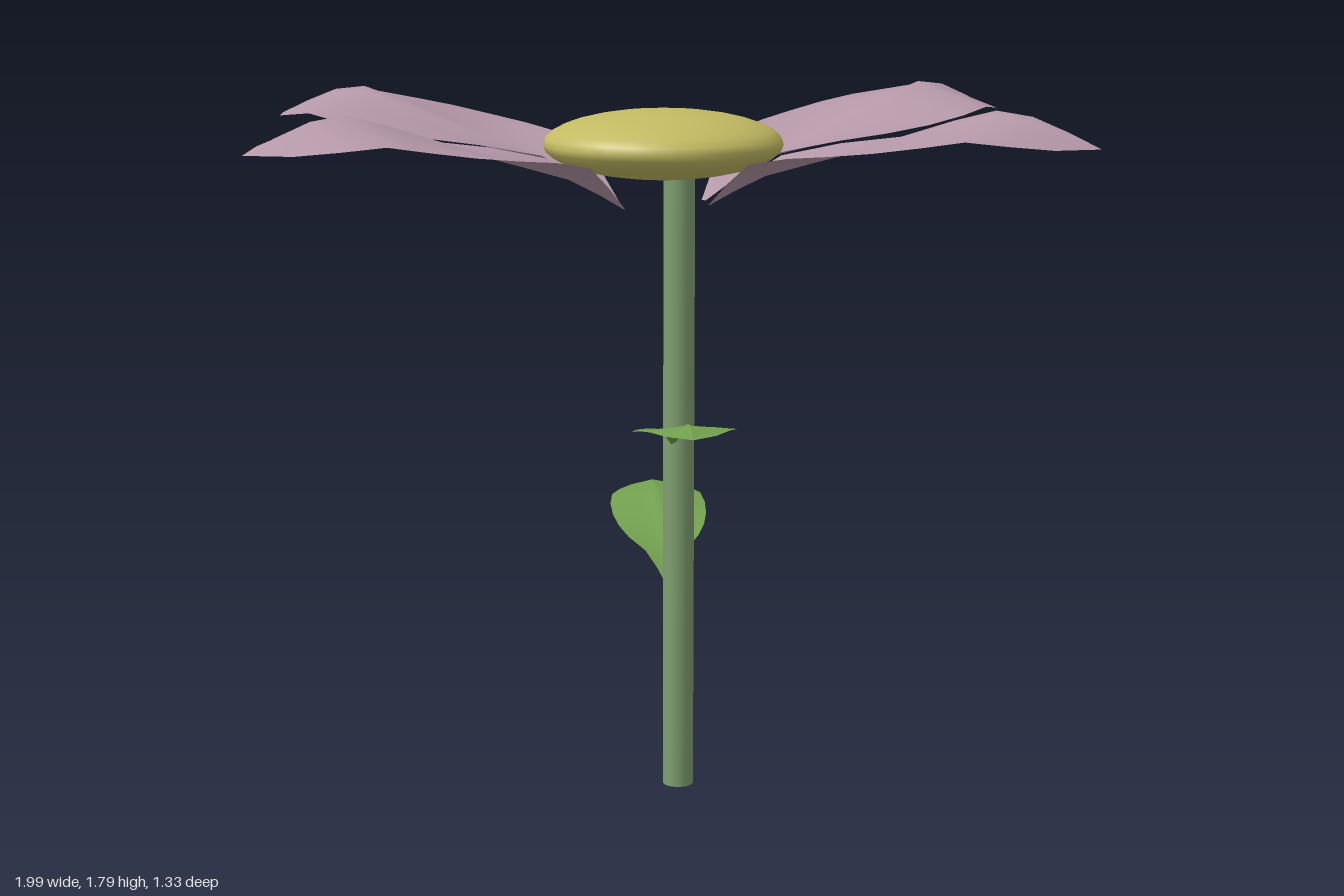
import * as THREE from 'three';

const mat = (color, side = THREE.FrontSide) =>
  new THREE.MeshStandardMaterial({ color, side, roughness: 0.8 });

// Linear lookup in a list of [t, value] pairs
function lookup(list, t) {
  for (let i = 1; i < list.length; i++) {
    const [t0, v0] = list[i - 1], [t1, v1] = list[i];
    if (t <= t1) return v0 + ((v1 - v0) * (t - t0)) / (t1 - t0);
  }
  return list[list.length - 1][1];
}

// Shared blade outline (1 = widest) and fold: edges rise near the base, droop near the tip
const OUTLINE = [[0, 0.03], [0.07, 0.2], [0.15, 0.42], [0.28, 0.72], [0.4, 0.89], [0.52, 0.98],
  [0.64, 1], [0.74, 0.94], [0.83, 0.76], [0.92, 0.47], [1, 0]];
const FOLD = [[0, 0], [0.13, 0.045], [0.3, 0.03], [0.5, -0.01], [0.7, -0.045], [0.85, -0.045], [1, 0]];
const COLS = [-1, -0.7, -0.4, -0.08, 0, 0.08, 0.4, 0.7, 1];

// Curved blade from base [x, z] to tip [x, z]; heights lists the midrib's y
function blade(name, material, base, tip, heights, halfWidth, fold, rib) {
  const dx = tip[0] - base[0], dz = tip[1] - base[1], len = Math.hypot(dx, dz);
  const pos = [], index = [], n = COLS.length;
  OUTLINE.forEach(([t, w], i) => {
    const y = lookup(heights, t), drop = lookup(FOLD, t) * fold;
    COLS.forEach((c, j) => {
      const s = (c * w * halfWidth) / len;
      const ridge = c === 0 ? rib * Math.min(1, w * 2) : 0;
      pos.push(base[0] + dx * t - dz * s, y + drop * Math.abs(c) + ridge, base[1] + dz * t + dx * s);
      if (i && j) {
        const d = i * n + j, b = d - n;
        index.push(b - 1, b, d - 1, b, d, d - 1);
      }
    });
  });
  const geo = new THREE.BufferGeometry();
  geo.setAttribute('position', new THREE.Float32BufferAttribute(pos, 3));
  geo.setIndex(index);
  geo.computeVertexNormals();
  const mesh = new THREE.Mesh(geo, material);
  mesh.name = name;
  return mesh;
}

export function createModel() {
  const flower = new THREE.Group();
  flower.name = 'flower';

  // Stem
  const stem = new THREE.Mesh(new THREE.CylinderGeometry(0.04, 0.04, 1.65, 16), mat(0x7f9f70));
  stem.name = 'stem';
  stem.position.set(0.06, 0.825, 0.028);
  flower.add(stem);

  // Flattened flower centre
  const centre = new THREE.Mesh(new THREE.SphereGeometry(1, 32, 16), mat(0xc2ba62));
  centre.name = 'flowerCentre';
  centre.scale.set(0.3, 0.085, 0.29);
  centre.position.set(0.02, 1.68, 0.025);
  flower.add(centre);

  // Four petals, each with its own base and tip
  const petalMat = mat(0xb598a8, THREE.DoubleSide);
  const petalRise = [[0, 1.53], [0.13, 1.6], [0.43, 1.69], [0.72, 1.785], [0.8, 1.785], [1, 1.71]];
  [
    ['petalBackLeft', [0.13, -0.03], [0.99, -0.57]],
    ['petalFrontLeft', [0.13, 0.07], [0.98, 0.565]],
    ['petalBackRight', [-0.09, -0.02], [-0.93, -0.6]],
    ['petalFrontRight', [-0.09, 0.12], [-1, 0.46]],
  ].forEach(([name, base, tip]) =>
    flower.add(blade(name, petalMat, base, tip, petalRise, 0.27, 1, 0.006)));

  // Two stem leaves
  const leafMat = mat(0x72a14e, THREE.DoubleSide);
  flower.add(blade('leafFront', leafMat, [0.04, 0.06], [0.035, 0.485],
    [[0, 0.92], [0.1, 0.96], [0.5, 1.005], [0.8, 1.045], [1, 1.025]], 0.128, 0.25, 0.004));
  flower.add(blade('leafBack', leafMat, [0.04, -0.02], [0.05, -0.455],
    [[0, 0.525], [0.14, 0.59], [0.5, 0.66], [0.77, 0.71], [1, 0.705]], 0.128, 0.25, 0.004));

  return flower;
}
